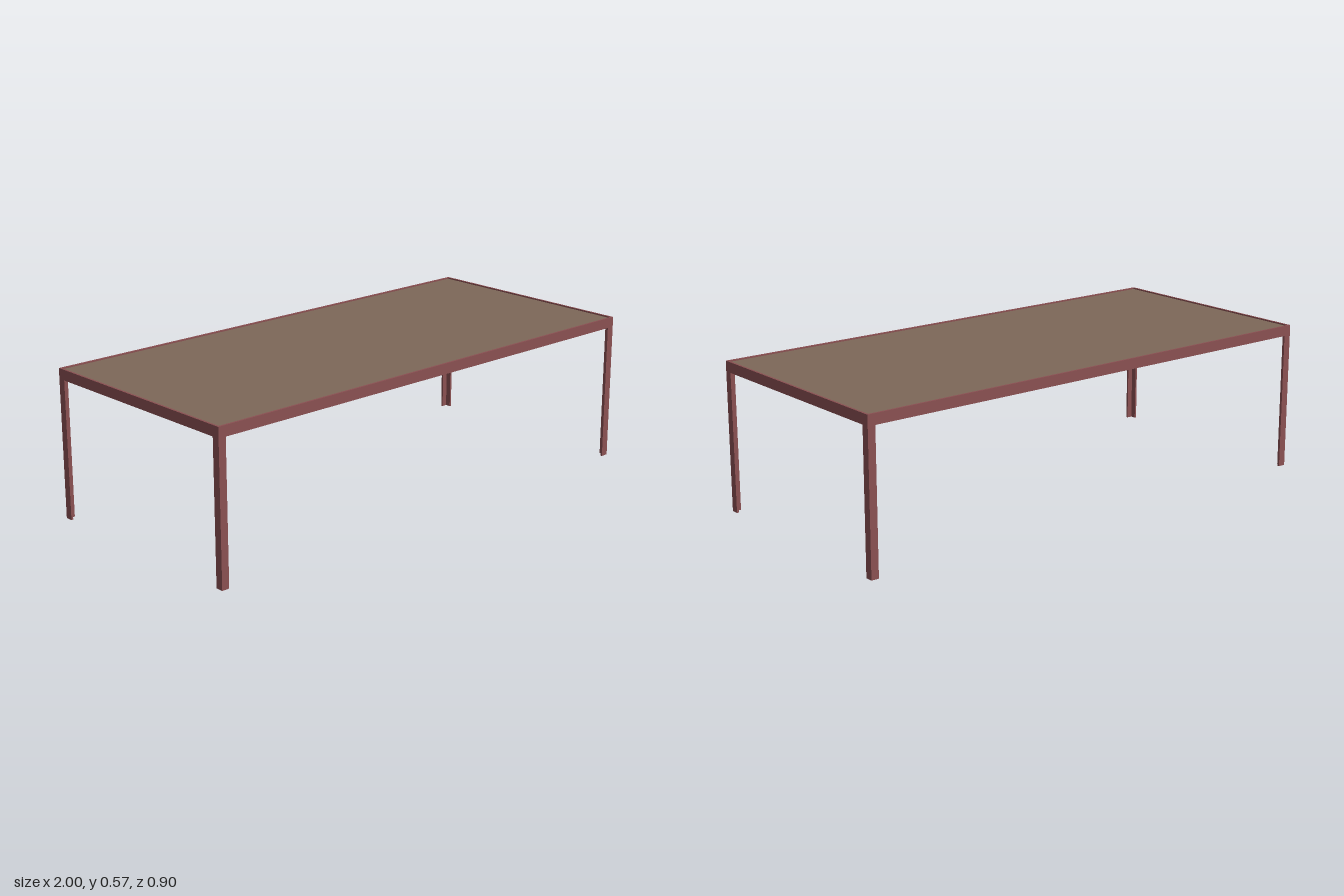
import * as THREE from 'three';

const W = 2, D = 0.904, H = 0.575; // overall size
const RAIL = 0.04, LEG = 0.03, T = 0.008; // rail height, flange width, metal thickness

const metal = new THREE.MeshStandardMaterial({ color: 0x8a5052 });
const board = new THREE.MeshStandardMaterial({ color: 0x7d6858 });

// Flat rectangular ring lying in the xz plane, extruded upwards from y
function ring(name, width, y, height) {
  const shape = new THREE.Shape([
    new THREE.Vector2(-W / 2, -D / 2), new THREE.Vector2(W / 2, -D / 2),
    new THREE.Vector2(W / 2, D / 2), new THREE.Vector2(-W / 2, D / 2),
  ]);
  const a = W / 2 - width, b = D / 2 - width;
  shape.holes.push(new THREE.Path([
    new THREE.Vector2(-a, -b), new THREE.Vector2(-a, b),
    new THREE.Vector2(a, b), new THREE.Vector2(a, -b),
  ]));
  const geo = new THREE.ExtrudeGeometry(shape, { depth: height, bevelEnabled: false });
  geo.rotateX(-Math.PI / 2);
  const mesh = new THREE.Mesh(geo, metal);
  mesh.name = name;
  mesh.position.y = y;
  return mesh;
}

// Angle-section leg with its outer corner at (sx, sz)
function leg(sx, sz) {
  const pts = [[0, 0], [LEG, 0], [LEG, T], [T, T], [T, LEG], [0, LEG]]
    .map(([u, v]) => new THREE.Vector2(sx * (W / 2 - u), -sz * (D / 2 - v)));
  const height = H - RAIL;
  const geo = new THREE.ExtrudeGeometry(new THREE.Shape(pts), { depth: height, bevelEnabled: false });
  geo.rotateX(-Math.PI / 2);
  const mesh = new THREE.Mesh(geo, metal);
  mesh.name = (sz > 0 ? 'front' : 'back') + (sx > 0 ? 'Left' : 'Right') + 'Leg';
  return mesh;
}

export function createModel() {
  const table = new THREE.Group();
  table.name = 'table';

  // Angle-section frame: a bottom ledge and an upright rim
  const base = H - RAIL;
  table.add(ring('frameLedge', 0.02, base, T));
  table.add(ring('frameRim', T, base + T, RAIL - T));

  // Top board resting on the ledge, just below the rim
  const thick = RAIL - T - 0.005;
  const top = new THREE.Mesh(new THREE.BoxGeometry(W - 2 * T, thick, D - 2 * T), board);
  top.name = 'tableTop';
  top.position.y = base + T + thick / 2;
  table.add(top);

  // Four legs
  for (const sx of [-1, 1]) for (const sz of [-1, 1]) table.add(leg(sx, sz));

  return table;
}
